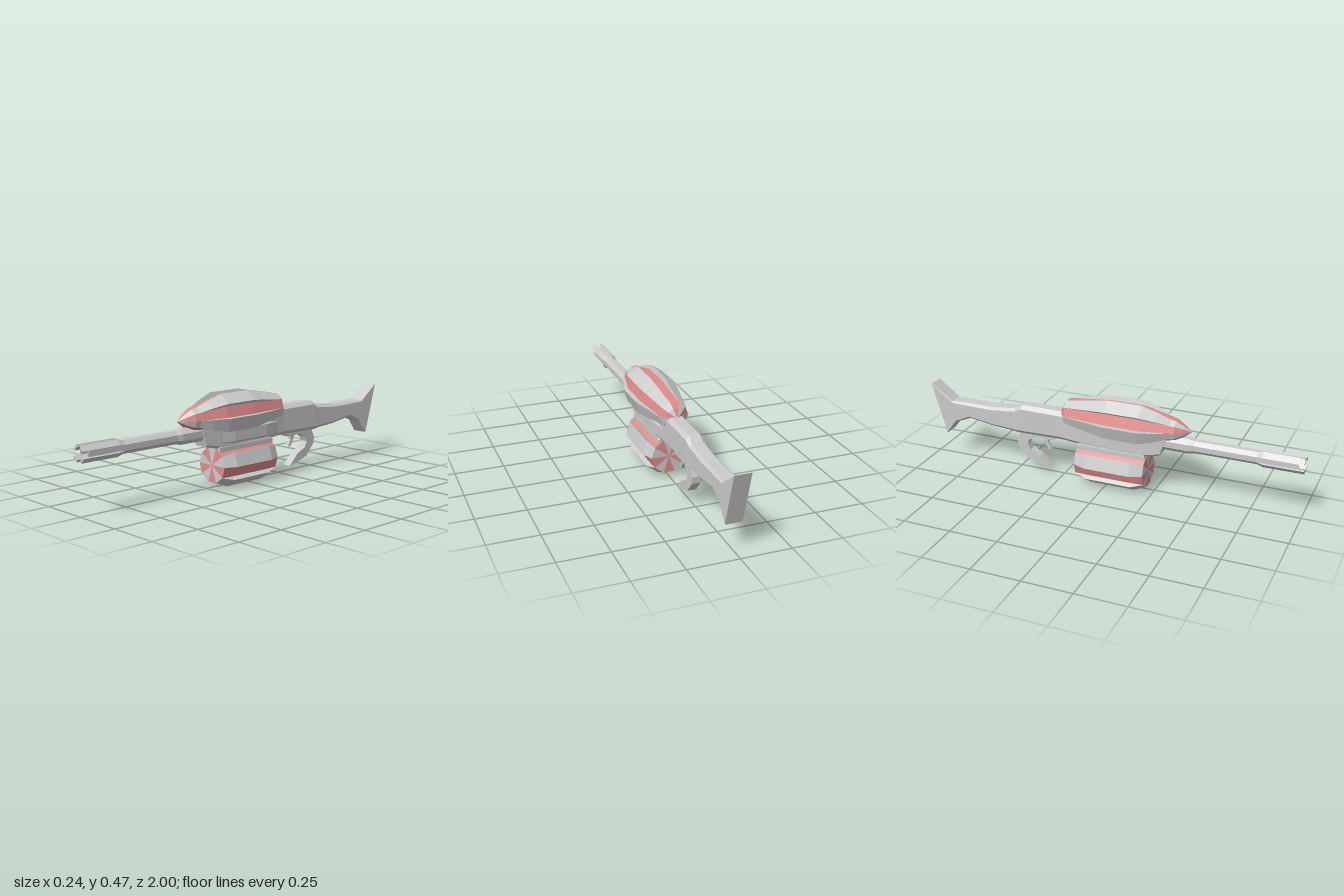
import * as THREE from 'three';

const grey = new THREE.MeshStandardMaterial({ color: 0xcccccc, flatShading: true, side: THREE.DoubleSide });
const red = new THREE.MeshStandardMaterial({ color: 0xe08a8a, flatShading: true, side: THREE.DoubleSide });

function add(parent, name, geometry, material = grey) {
  const mesh = new THREE.Mesh(geometry, material);
  mesh.name = name;
  parent.add(mesh);
  return mesh;
}

// Skin over rings of [x, y, z], counter-clockwise from the front, ordered front to back
function loft(rings) {
  const pos = [];
  const tri = (...points) => points.forEach((p) => pos.push(...p));
  const n = rings[0].length;
  for (let k = 0; k < rings.length - 1; k++) {
    const a = rings[k], b = rings[k + 1];
    for (let i = 0; i < n; i++) {
      const j = (i + 1) % n;
      tri(a[i], b[i], a[j]);
      tri(a[j], b[i], b[j]);
    }
  }
  const first = rings[0], last = rings[rings.length - 1];
  for (let i = 1; i < n - 1; i++) {
    tri(first[0], first[i], first[i + 1]);
    tri(last[0], last[i + 1], last[i]);
  }
  const g = new THREE.BufferGeometry();
  g.setAttribute('position', new THREE.Float32BufferAttribute(pos, 3));
  g.computeVertexNormals();
  return g;
}

// Pie slice of a ten-sided body; profile rows are [z, radius]
function wedge(angle, profile) {
  const h = Math.PI / 10;
  return loft(profile.map(([z, r]) => [
    [0, 0, z],
    [r * Math.cos(angle - h), r * Math.sin(angle - h), z],
    [r * Math.cos(angle + h), r * Math.sin(angle + h), z],
  ]));
}

// Alternating raised grey and recessed red slices
function segmentedBody(name, y, startAngle, raised, recessed) {
  const group = new THREE.Group();
  group.name = name;
  group.position.y = y;
  for (let i = 0; i < 10; i++) {
    const isRed = i % 2 === 0;
    add(group, isRed ? 'recessedPanel' : 'raisedPanel',
      wedge(startAngle + i * Math.PI / 5, isRed ? recessed : raised), isRed ? red : grey);
  }
  return group;
}

// Chamfered rectangular section; the top and bottom may sit at different z
function section([zTop, zBot, yTop, yBot, w, c]) {
  const at = (x, y) => [x, y, zBot + (zTop - zBot) * (y - yBot) / (yTop - yBot)];
  return [
    at(w - c, yBot), at(w, yBot + c), at(w, yTop - c), at(w - c, yTop),
    at(c - w, yTop), at(-w, yTop - c), at(-w, yBot + c), at(c - w, yBot),
  ];
}

// Side outline of [z, y] points given thickness across x
function sidePlate(points, width) {
  const shape = new THREE.Shape(points.map(([z, y]) => new THREE.Vector2(z, y)));
  const g = new THREE.ExtrudeGeometry(shape, { depth: width, bevelEnabled: false });
  return g.translate(0, 0, -width / 2).rotateY(-Math.PI / 2);
}

export function createModel() {
  const model = new THREE.Group();
  model.name = 'rifle';

  // Receiver and the stock that flares to a slanted butt
  add(model, 'receiver', loft([
    [0.32, 0.285, 0.325, 0.215, 0.045, 0.012],
    [0.2, 0.2, 0.34, 0.195, 0.055, 0.015],
    [-0.12, -0.12, 0.345, 0.2, 0.055, 0.018],
    [-0.25, -0.25, 0.36, 0.205, 0.046, 0.02],
    [-0.47, -0.5, 0.36, 0.2, 0.045, 0.02],
  ].map(section)));
  add(model, 'stock', loft([
    [-0.47, -0.5, 0.36, 0.2, 0.045, 0.02],
    [-0.51, -0.54, 0.335, 0.207, 0.043, 0.015],
    [-0.65, -0.65, 0.32, 0.215, 0.042, 0.013],
    [-0.78, -0.78, 0.32, 0.235, 0.042, 0.012],
    [-0.88, -0.865, 0.318, 0.2, 0.042, 0.008],
    [-0.998, -0.92, 0.402, 0.13, 0.042, 0.004],
  ].map(section)));

  // Low bulge on the left side of the receiver
  const bulge = (z, x) => [[0.04, 0.205, z], [x, 0.228, z], [x, 0.285, z], [0.04, 0.31, z]];
  add(model, 'sideCover', loft([bulge(0.2, 0.054), bulge(0.12, 0.068), bulge(-0.1, 0.068), bulge(-0.2, 0.05)]));

  // Sight pod on top, tapered at both ends
  model.add(segmentedBody('sightPod', 0.355, Math.PI / 2,
    [[0.436, 0.001], [0.4, 0.03], [0.36, 0.055], [0.335, 0.06], [0.27, 0.09], [0.19, 0.118],
      [0.01, 0.118], [-0.22, 0.073], [-0.24, 0.045], [-0.262, 0.001]],
    [[0.436, 0.001], [0.4, 0.03], [0.36, 0.055], [0.27, 0.074], [0.19, 0.092],
      [0.01, 0.092], [-0.22, 0.07], [-0.24, 0.045], [-0.262, 0.001]]));

  // Drum magazine and its mount
  model.add(segmentedBody('drumMagazine', 0.11, -Math.PI / 2,
    [[0.215, 0.092], [0.15, 0.118], [-0.09, 0.118], [-0.155, 0.092]],
    [[0.215, 0.092], [0.15, 0.094], [-0.09, 0.094], [-0.155, 0.092]]));
  const mount = (z, top, w) => [[-0.055, 0.18, z], [0.055, 0.18, z], [0.055, 0.203, z], [w, top, z], [-w, top, z], [-0.055, 0.203, z]];
  add(model, 'drumMount', loft([mount(0.21, 0.205, 0.052), mount(0.17, 0.225, 0.05), mount(-0.12, 0.225, 0.05), mount(-0.155, 0.205, 0.05)]));

  // Eight-sided barrel with collar and hollow muzzle
  const barrel = new THREE.Group();
  barrel.name = 'barrelAssembly';
  barrel.position.y = 0.284;
  model.add(barrel);
  const profile = [[0, 0.2], [0.042, 0.2], [0.042, 0.43], [0.035, 0.46], [0.035, 0.97], [0.028, 0.97], [0.028, 0.85], [0, 0.85]]
    .map(([r, z]) => new THREE.Vector2(r, z));
  add(barrel, 'barrel', new THREE.LatheGeometry(profile, 8, Math.PI / 8).rotateX(Math.PI / 2));

  // Four diagonal muzzle prongs
  for (let i = 0; i < 4; i++) {
    const a = Math.PI / 4 + i * Math.PI / 2, h = Math.PI / 8;
    const ring = (z, r) => [[0.031, -h], [r, -h], [r, h], [0.031, h]]
      .map(([q, d]) => [q * Math.cos(a + d), q * Math.sin(a + d), z]);
    add(barrel, 'muzzleProng', loft([ring(1, 0.044), ring(0.8, 0.044), ring(0.77, 0.035)]));
  }

  // Hooked grip, trigger and the plate above them
  add(model, 'grip', sidePlate([
    [-0.39, 0.215], [-0.4, 0.185], [-0.44, 0.165], [-0.45, 0.14], [-0.435, 0.11], [-0.38, 0.085],
    [-0.32, 0.025], [-0.385, 0.04], [-0.45, 0.062], [-0.505, 0.125], [-0.507, 0.16], [-0.48, 0.215],
  ], 0.045));
  add(model, 'trigger', sidePlate([
    [-0.335, 0.2], [-0.34, 0.165], [-0.32, 0.128], [-0.335, 0.125], [-0.36, 0.165], [-0.375, 0.2],
  ], 0.018));
  add(model, 'triggerPlate', sidePlate([
    [-0.28, 0.215], [-0.3, 0.188], [-0.47, 0.188], [-0.5, 0.215],
  ], 0.05));

  return model;
}
